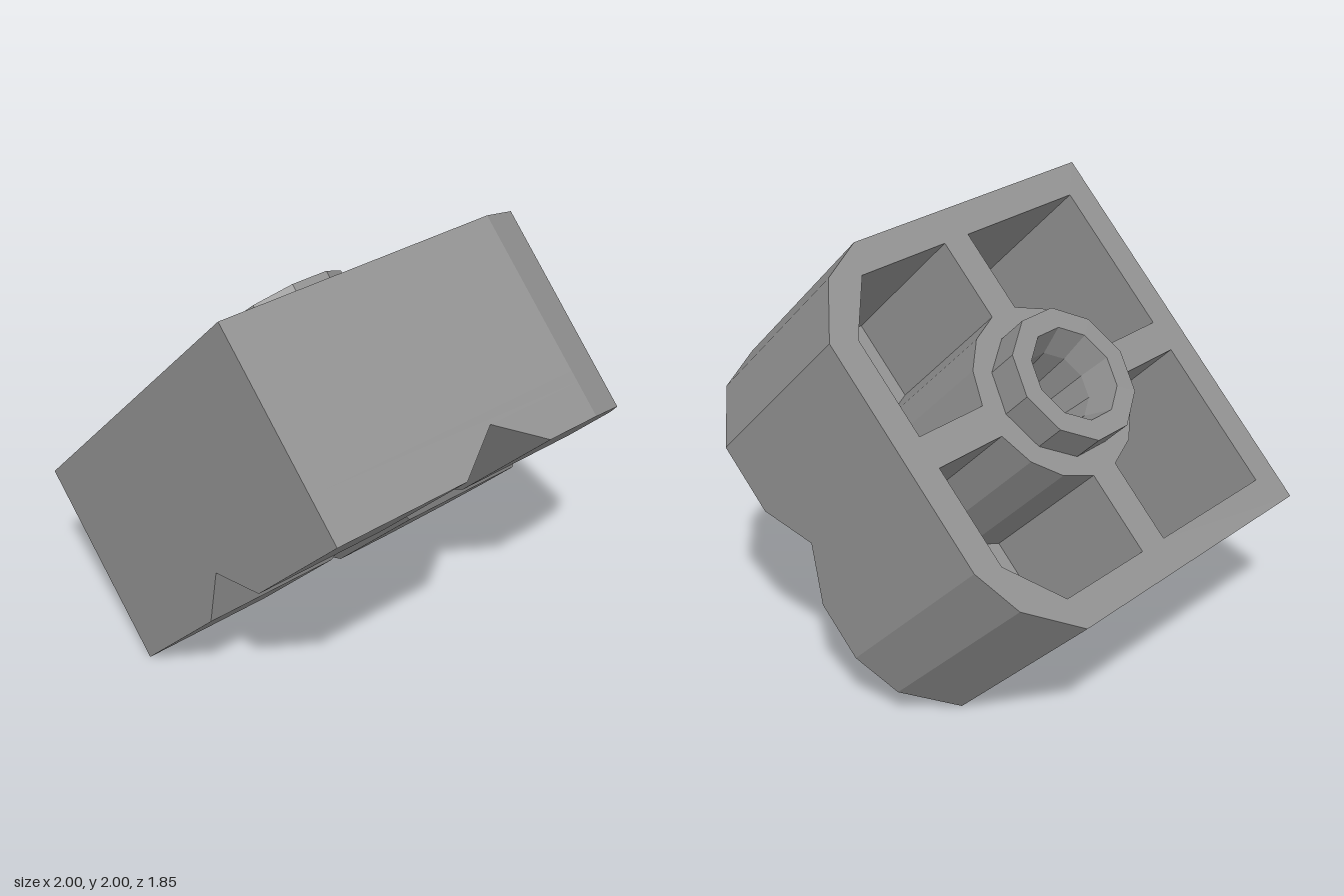
import * as THREE from 'three';

const HALF_U = 0.93, HALF_Z = 0.925; // half sizes of the block's square face
const HEIGHT = 0.97, GROOVE = 0.165, GROOVE_HALF = 0.24;
const POCKET = 0.75;

const material = new THREE.MeshStandardMaterial({ color: 0x909090, flatShading: true });

const shapeOf = (pts) => new THREE.Shape(pts.map(([x, y]) => new THREE.Vector2(x, y)));

// Extrudes a (u, z) shape downwards from height y
function slab(shape, y, depth) {
  const geo = new THREE.ExtrudeGeometry(shape, { depth, bevelEnabled: false });
  return geo.rotateX(Math.PI / 2).translate(0, y, 0);
}

function mesh(name, geo) {
  const m = new THREE.Mesh(geo, material);
  m.name = name;
  return m;
}

// The two rounded back corners, each from the side line to the back line
const highCorner = [[HALF_U, -0.52], [0.825, -0.745], [0.57, -HALF_Z]];
const lowCorner = [[-HALF_U, -0.575], [-0.73, -0.83], [-0.51, -HALF_Z]];

// Counter-clockwise outline of the whole block
function outline() {
  return shapeOf([
    [HALF_U, HALF_Z], [-HALF_U, HALF_Z],
    ...lowCorner, ...[...highCorner].reverse(),
  ]);
}

// One pocket between the rim, the cross bars and the round centre column
function pocket(su, sz) {
  const bar = 0.075, rim = 0.785, r = 0.41;
  const pts = [];
  const a0 = Math.asin(bar / r), a1 = Math.PI / 2 - a0;
  for (let i = 0; i <= 3; i++) {
    const a = a0 + (a1 - a0) * i / 3;
    pts.push([r * Math.cos(a), r * Math.sin(a)]);
  }
  pts.push([bar, rim]);
  if (sz < 0) pts.push([0.54, rim], [rim, 0.58]);
  else pts.push([rim, rim]);
  pts.push([rim, bar]);
  return shapeOf(pts.map(([u, z]) => [su * u, sz * z]));
}

// One quarter of the underside, its inner edges sloped to form the crossed grooves
function pad(su, sz) {
  const backEdge = su > 0 ? highCorner : lowCorner;
  const edge = sz < 0 ? backEdge : [[su * HALF_U, HALF_Z]];
  const pts = [[0, 0], [su * HALF_U, 0], ...edge, [0, sz * HALF_Z]];
  const geo = slab(shapeOf(pts), GROOVE - HEIGHT, GROOVE);
  const p = geo.attributes.position;
  for (let i = 0; i < p.count; i++) {
    if (p.getY(i) > -HEIGHT + 0.01) continue;
    p.setX(i, su * Math.max(Math.abs(p.getX(i)), GROOVE_HALF));
    p.setZ(i, sz * Math.max(Math.abs(p.getZ(i)), GROOVE_HALF));
  }
  geo.computeVertexNormals();
  return geo;
}

export function createModel() {
  const model = new THREE.Group();
  model.name = 'tiltedBlock';
  const block = new THREE.Group();
  block.name = 'block';
  block.rotation.z = Math.PI / 4;
  block.position.set(-0.342, 1.343, 0);
  model.add(block);

  const corners = [[1, 1], [1, -1], [-1, 1], [-1, -1]];

  // Walls, cross bars and centre column in one cut-out extrusion
  const body = outline();
  for (const [su, sz] of corners) body.holes.push(pocket(su, sz));
  const bore = [];
  for (let i = 0; i < 10; i++) {
    const a = i / 10 * Math.PI * 2;
    bore.push([0.22 * Math.sin(a), 0.22 * Math.cos(a)]);
  }
  body.holes.push(shapeOf(bore));
  block.add(mesh('wallsAndBars', slab(body, 0, POCKET)));

  // Floor under the pockets
  block.add(mesh('floor', slab(outline(), -POCKET, HEIGHT - GROOVE - POCKET)));

  // Underside pads separated by crossed grooves
  for (const [su, sz] of corners) block.add(mesh('undersidePad', pad(su, sz)));

  // Raised hub with a narrowing socket
  const profile = [[0.315, -0.02], [0.315, 0.16], [0.22, 0.16], [0.17, 0.02], [0.15, -0.2], [0, -0.2]];
  const hub = new THREE.LatheGeometry(profile.map(([r, y]) => new THREE.Vector2(r, y)), 10);
  block.add(mesh('hub', hub));

  return model;
}
